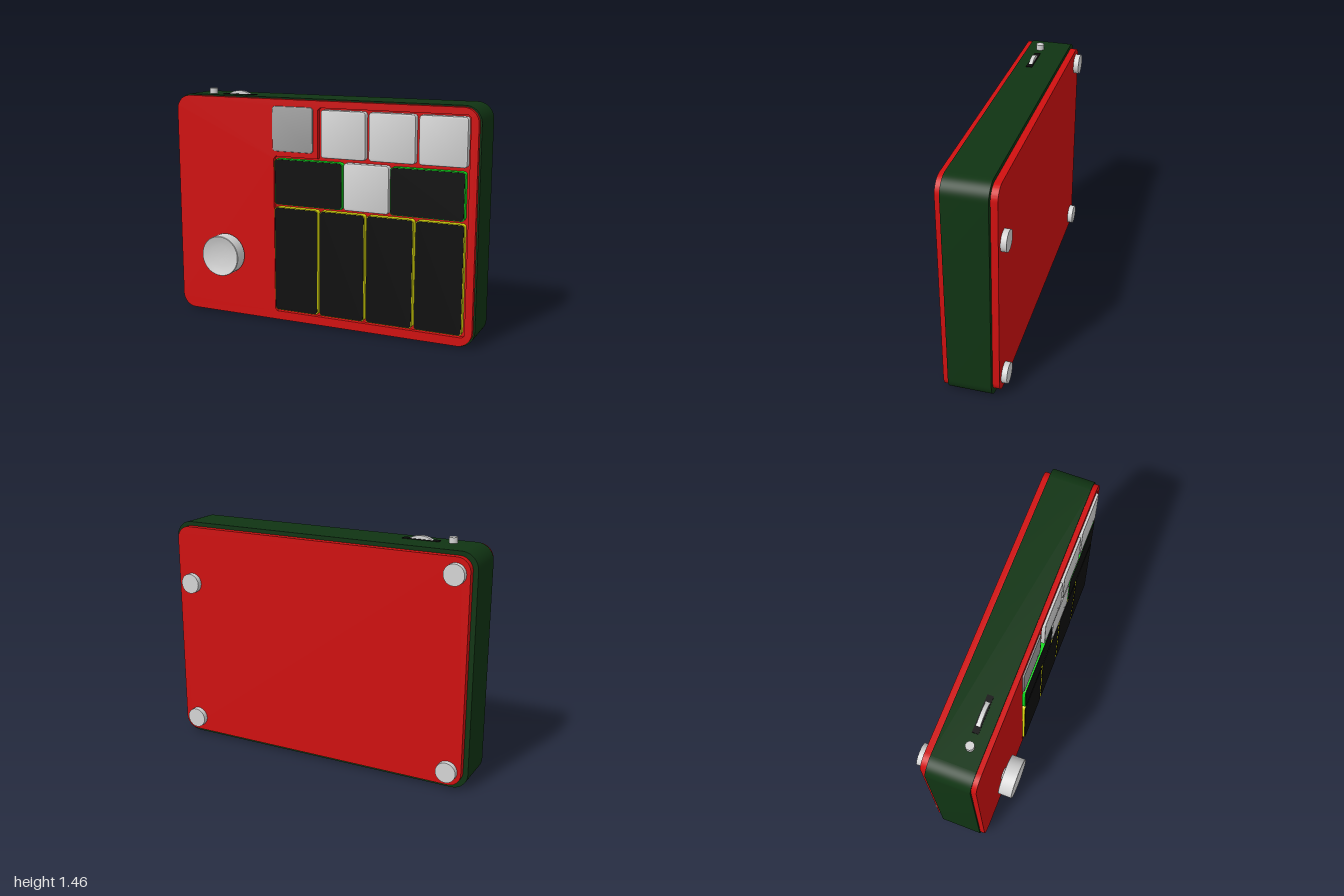
import * as THREE from 'three';
import { toCreasedNormals } from 'three/addons/utils/BufferGeometryUtils.js';

const material = (name, color) => {
  const m = new THREE.MeshStandardMaterial({ color });
  m.name = name;
  return m;
};

// Rounded rectangle outline from its edges
function roundedRect(x0, x1, y0, y1, r) {
  const s = new THREE.Shape();
  s.moveTo(x0 + r, y0);
  s.lineTo(x1 - r, y0);
  s.absarc(x1 - r, y0 + r, r, -Math.PI / 2, 0);
  s.lineTo(x1, y1 - r);
  s.absarc(x1 - r, y1 - r, r, 0, Math.PI / 2);
  s.lineTo(x0 + r, y1);
  s.absarc(x0 + r, y1 - r, r, Math.PI / 2, Math.PI);
  s.lineTo(x0, y0 + r);
  s.absarc(x0 + r, y0 + r, r, Math.PI, Math.PI * 1.5);
  return s;
}

// Outline extruded between two z planes, optionally with a softened edge
function slab(shape, z0, z1, bevel = 0) {
  const geo = new THREE.ExtrudeGeometry(shape, {
    depth: z1 - z0 - 2 * bevel, curveSegments: 8,
    bevelEnabled: bevel > 0, bevelSize: bevel, bevelThickness: bevel,
    bevelOffset: -bevel, bevelSegments: 2,
  });
  geo.translate(0, 0, z0 + bevel);
  return toCreasedNormals(geo, 0.6);
}

export function createModel() {
  const group = new THREE.Group();
  group.name = 'padController';
  const red = material('red', 0xd01010);
  const darkGreen = material('darkGreen', 0x103413);
  const lightGrey = material('lightGrey', 0xd4d4d4);
  const midGrey = material('midGrey', 0xa0a0a0);
  const black = material('black', 0x0e0e0e);
  const yellow = material('yellow', 0xdcdc0c);
  const green = material('brightGreen', 0x0cd81c);

  const add = (name, geo, mat, x = 0, y = 0, z = 0) => {
    const mesh = new THREE.Mesh(geo, mat);
    mesh.name = name;
    mesh.position.set(x, y, z);
    group.add(mesh);
    return mesh;
  };

  // Case: body, back plate and front plate with an L-shaped key well
  add('body', slab(roundedRect(-1, 1, 0, 1.425, 0.1), -0.16, 0.1), darkGreen);
  add('backPlate', slab(roundedRect(-0.97, 0.97, 0.03, 1.4, 0.08), -0.2, -0.16), red);
  const front = roundedRect(-0.99, 0.99, 0.01, 1.417, 0.09);
  front.holes.push(new THREE.Path([
    [-0.3, 0.08], [-0.285, 0.065], [0.93, 0.065], [0.945, 0.08], [0.945, 1.36], [0.93, 1.375],
    [0.015, 1.375], [0, 1.36], [0, 1.065], [-0.285, 1.065], [-0.3, 1.05],
  ].map(([x, y]) => new THREE.Vector2(x, y))));
  add('frontPlate', slab(front, 0.1, 0.13), red);
  add('keyWellFloor', slab(roundedRect(-0.32, 0.96, 0.05, 1.39, 0.02), 0.098, 0.104), red);

  // Display
  add('display', slab(roundedRect(-0.305, -0.03, 1.097, 1.375, 0.02), 0.11, 0.14, 0.005), midGrey);

  // Grey square keys: three on top, one in the middle row
  for (const [x, y] of [[0.025, 1.075], [0.335, 1.075], [0.645, 1.075], [0.175, 0.765]]) {
    add('squareKey', slab(roundedRect(x, x + 0.29, y, y + 0.29, 0.02), 0.1, 0.145, 0.008), lightGrey);
  }

  // Black pads on coloured bases
  const pad = (name, x0, x1, y0, y1, mat) => {
    add(name + 'Base', slab(roundedRect(x0, x1, y0, y1, 0.02), 0.1, 0.142), mat);
    const e = 0.004;
    add(name + 'Top', slab(roundedRect(x0 + e, x1 - e, y0 + e, y1 - e, 0.018), 0.141, 0.145), black);
  };
  pad('widePad', -0.287, 0.167, 0.765, 1.052, green);
  pad('widePad', 0.474, 0.927, 0.765, 1.052, green);
  for (let i = 0; i < 4; i++) {
    const x = -0.291 + i * 0.3085;
    pad('tallPad', x, x + 0.296, 0.08, 0.748, yellow);
  }

  // Knob with a shallow dished face, on a short stem
  const dish = [[0, 0], [0.128, 0], [0.13, 0.002], [0.13, 0.087], [0.127, 0.09],
    [0.1, 0.081], [0.07, 0.074], [0.035, 0.07], [0, 0.068]];
  const knobGeo = toCreasedNormals(
    new THREE.LatheGeometry(dish.map(([x, y]) => new THREE.Vector2(x, y)), 40), 0.5);
  knobGeo.rotateX(Math.PI / 2);
  add('knob', knobGeo, lightGrey, -0.64, 0.412, 0.145);
  const stem = new THREE.CylinderGeometry(0.04, 0.04, 0.03, 24).rotateX(Math.PI / 2);
  add('knobStem', stem, lightGrey, -0.64, 0.412, 0.135);

  // Top edge: thumb wheel in its slot, and a small peg
  add('wheelSlot', new THREE.BoxGeometry(0.225, 0.008, 0.038), black, -0.593, 1.425, 0.015);
  const wheel = new THREE.CylinderGeometry(0.135, 0.135, 0.024, 40).rotateX(Math.PI / 2);
  add('thumbWheel', wheel, lightGrey, -0.593, 1.315, 0.015);
  add('peg', new THREE.CylinderGeometry(0.025, 0.025, 0.05, 20), lightGrey, -0.785, 1.434, 0.018);

  // Feet on the back
  for (const [x, y] of [[-0.885, 1.305], [0.872, 1.04], [-0.885, 0.12], [0.872, 0.12]]) {
    const foot = new THREE.CylinderGeometry(0.063, 0.063, 0.04, 24).rotateX(Math.PI / 2);
    add('foot', foot, lightGrey, x, y, -0.213);
  }
  return group;
}
